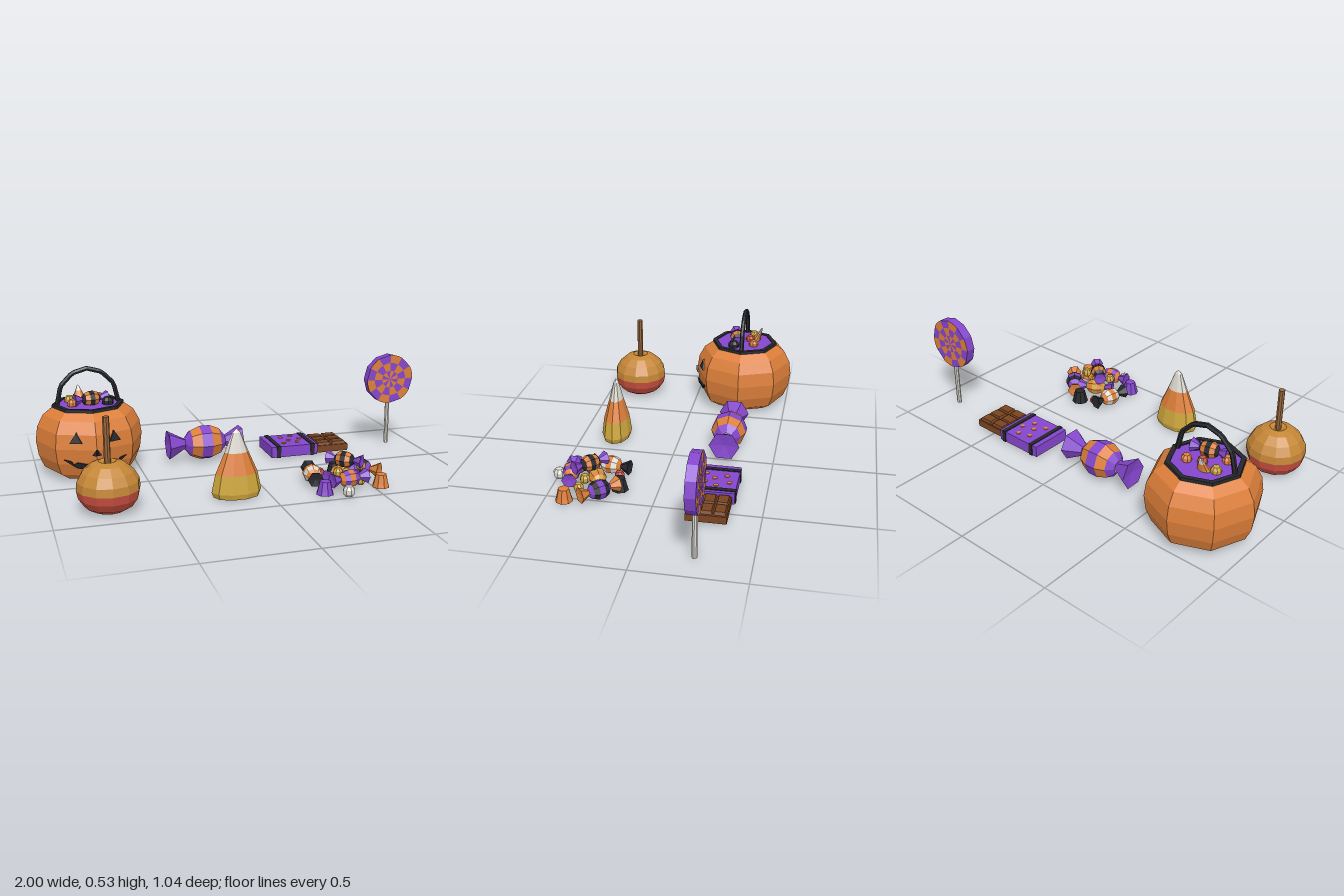
import * as THREE from 'three';

const mat = (name, color) => {
  const m = new THREE.MeshStandardMaterial({ color });
  m.name = name;
  return m;
};
const orange = mat('orange', 0xdd7f3a), purple = mat('purple', 0x8446cc), black = mat('black', 0x26272c);
const white = mat('white', 0xdcd9d0), yellow = mat('yellow', 0xcda63c), red = mat('red', 0xcb5040);
const chocolate = mat('chocolate', 0x7a4420), wood = mat('wood', 0x98663a), caramel = mat('caramel', 0xc48636);

// Faceted mesh: every triangle keeps its own normal
function add(parent, name, geo, material, x = 0, y = 0, z = 0) {
  const g = geo.index ? geo.toNonIndexed() : geo;
  g.computeVertexNormals();
  const m = new THREE.Mesh(g, material);
  m.name = name;
  m.position.set(x, y, z);
  parent.add(m);
  return m;
}
function group(parent, name, x, y, z, s = 1, rx = 0, ry = 0, rz = 0) {
  const g = new THREE.Group();
  g.name = name;
  g.position.set(x, y, z);
  g.rotation.set(rx, ry, rz);
  g.scale.setScalar(s);
  parent.add(g);
  return g;
}
// Lathe from [radius, y] pairs, bottom to top
const lathe = (pts, n) => new THREE.LatheGeometry(pts.map(p => new THREE.Vector2(p[0], p[1])), n);
const box = (w, h, d) => new THREE.BoxGeometry(w, h, d);

// Striped sweet with two flared wrapper ends, lying along x
function wrappedCandy(parent, x, y, z, s, base, stripe, ends, ry = 0, rz = 0) {
  const g = group(parent, 'wrappedCandy', x, y, z, s, 0, ry, rz);
  const body = group(g, 'body', 0, 0, 0, 1, 0, 0, Math.PI / 2);
  const p = [[0.03, -0.105], [0.068, -0.075], [0.088, -0.027], [0.088, 0.027], [0.068, 0.075], [0.03, 0.105]];
  for (let i = 0; i < 5; i++) add(body, 'band', lathe([p[i], p[i + 1]], 8), i % 2 ? stripe : base);
  for (const turn of [0, Math.PI]) {
    add(body, 'wrapperEnd', lathe([[0.018, 0.09], [0.076, 0.192], [0, 0.18]], 6), ends).rotation.x = turn;
  }
}

// Flattened three-colour corn sweet standing on its base
function candyCorn(parent, x, y, z, s = 1, rx = 0) {
  const g = group(parent, 'candyCorn', x, y, z, s, rx);
  const parts = [
    ['base', yellow, [[0, 0], [0.108, 0], [0.118, 0.025], [0.1, 0.11]]],
    ['middle', orange, [[0.1, 0.11], [0.056, 0.21]]],
    ['tip', white, [[0.056, 0.21], [0.02, 0.3], [0, 0.32]]],
  ];
  for (const [name, m, pts] of parts) add(g, name, lathe(pts, 10).rotateY(Math.PI / 10 * 5).scale(1, 1, 0.62), m);
}

const ball = (parent, m, x, y, z, r = 0.025) => add(parent, 'roundSweet', new THREE.SphereGeometry(r, 8, 5), m, x, y, z);

// Pumpkin bucket
const skin = [[0, 0], [0.17, 0], [0.225, 0.035], [0.25, 0.095], [0.26, 0.17], [0.25, 0.24], [0.22, 0.297], [0.165, 0.338]];
function apothem(y) {
  let i = 1;
  while (i < skin.length - 2 && skin[i + 1][1] < y) i++;
  const [r0, y0] = skin[i], [r1, y1] = skin[i + 1];
  return (r0 + (r1 - r0) * (y - y0) / (y1 - y0)) * Math.cos(Math.PI / 8);
}
function facePlate(parent, name, pts) {
  const shape = new THREE.Shape(pts.map(p => new THREE.Vector2(p[0], p[1])));
  const geo = new THREE.ExtrudeGeometry(shape, { depth: 0.009, bevelEnabled: false });
  const a = geo.attributes.position;
  for (let i = 0; i < a.count; i++) a.setZ(i, a.getZ(i) + apothem(a.getY(i)));
  add(parent, name, geo, black);
}
function bucket(root) {
  const g = group(root, 'pumpkinBucket', -0.74, 0, -0.26);
  add(g, 'shell', lathe(skin, 8), orange);
  add(g, 'rim', lathe([[0.152, 0.325], [0.176, 0.328], [0.174, 0.344], [0.152, 0.344], [0.152, 0.325]], 8), black);
  add(g, 'filling', lathe([[0.155, 0.339], [0, 0.345]], 8), purple);
  const arc = [[-0.15, 0.335], [-0.128, 0.432], [-0.07, 0.492], [0, 0.512], [0.07, 0.492], [0.128, 0.432], [0.15, 0.335]];
  const path = new THREE.CurvePath();
  for (let i = 0; i < 6; i++) {
    path.add(new THREE.LineCurve3(new THREE.Vector3(...arc[i], 0), new THREE.Vector3(...arc[i + 1], 0)));
  }
  add(g, 'handle', new THREE.TubeGeometry(path, 24, 0.012, 6), black);
  // Face, one half on each front panel
  for (const side of [-1, 1]) {
    const panel = group(g, 'faceHalf', 0, 0, 0, 1, 0, side * Math.PI / 8);
    facePlate(panel, 'eye', [[-0.03, 0.202], [0.03, 0.202], [0, 0.252]]);
    const edge = -side * 0.0985;
    facePlate(panel, 'nose', [[edge, 0.145], [edge + side * 0.022, 0.145], [edge, 0.175]]);
    const mouth = [[0, 0.07], [0.03, 0.07], [0.03, 0.085], [0.06, 0.085], [0.06, 0.073], [0.1, 0.078],
      [0.16, 0.12], [0.125, 0.112], [0.115, 0.097], [0.095, 0.107], [0.05, 0.1], [0, 0.1]];
    facePlate(panel, 'mouth', mouth.map(([x, y]) => [edge + side * x, y]));
  }
  // Sweets on top
  wrappedCandy(g, 0.01, 0.37, 0.04, 0.43, black, orange, purple, 0.2);
  candyCorn(g, -0.035, 0.325, -0.055, 0.3, -0.4);
  ball(g, orange, 0.06, 0.352, -0.055);
  ball(g, orange, -0.08, 0.352, 0.045);
  ball(g, red, -0.005, 0.355, -0.03, 0.024);
  ball(g, yellow, -0.085, 0.35, -0.045);
  ball(g, black, 0.09, 0.35, 0.05, 0.03);
}

// Dipped apple on a stick
function apple(root) {
  const g = group(root, 'caramelApple', -0.74, 0, 0.33);
  add(g, 'appleSkin', lathe([[0, 0], [0.07, 0], [0.108, 0.022], [0.134, 0.06], [0.142, 0.1]], 12), red);
  add(g, 'caramelCoat', lathe([[0.142, 0.1], [0.138, 0.137], [0.115, 0.178], [0.078, 0.211], [0.04, 0.224], [0.014, 0.212]], 12), caramel);
  add(g, 'appleStick', new THREE.CylinderGeometry(0.015, 0.015, 0.25, 8), wood, 0, 0.297, 0);
}

// Half-unwrapped bar
function bar(root) {
  const g = group(root, 'chocolateBar', 0, 0, -0.26);
  add(g, 'wrapper', box(0.25, 0.056, 0.21), purple, 0.302, 0.03, 0);
  for (const x of [0.215, 0.4]) add(g, 'wrapperBand', box(0.022, 0.062, 0.218), black, x, 0.031, 0);
  const dots = [[0.275, -0.05], [0.335, -0.068], [0.26, 0.048], [0.335, 0.045], [0.3, 0.005], [0.365, -0.01]];
  for (const [x, z] of dots) add(g, 'wrapperDot', new THREE.CylinderGeometry(0.012, 0.012, 0.006, 8), orange, x, 0.059, z);
  add(g, 'barBase', box(0.18, 0.036, 0.186), chocolate, 0.512, 0.022, 0);
  for (let i = 0; i < 2; i++) for (let j = -1; j <= 1; j++) {
    const piece = new THREE.CylinderGeometry(0.75, 0.9, 1, 4).rotateY(Math.PI / 4).scale(0.06, 0.016, 0.043);
    add(g, 'barSquare', piece, chocolate, 0.472 + i * 0.082, 0.047, j * 0.06);
  }
}

// Lollipop with a checkered disc on both faces
function lollipop(root) {
  const g = group(root, 'lollipop', 0.866, 0, -0.256);
  add(g, 'lollipopStick', new THREE.CylinderGeometry(0.012, 0.012, 0.25, 8), white, 0, 0.125, 0);
  const head = group(g, 'lollipopHead', 0, 0.357, 0);
  add(head, 'disc', new THREE.CylinderGeometry(0.131, 0.131, 0.047, 12).rotateX(Math.PI / 2), purple);
  const radii = [0.003, 0.045, 0.088, 0.131], step = Math.PI / 6;
  for (const turn of [0, Math.PI]) {
    const face = group(head, 'checkeredFace', 0, 0, 0, 1, 0, turn);
    for (let r = 0; r < 3; r++) for (let k = r % 2; k < 12; k += 2) {
      add(face, 'check', new THREE.RingGeometry(radii[r], radii[r + 1], 1, 1, k * step, step), orange, 0, 0, 0.0245);
    }
  }
}

// Heap of small sweets
function pile(root) {
  const g = group(root, 'candyPile', 0, 0, 0);
  wrappedCandy(g, 0.24, 0.045, 0.255, 0.5, orange, white, black, 1.4);
  wrappedCandy(g, 0.49, 0.05, 0.25, 0.52, purple, black, orange, -0.8);
  wrappedCandy(g, 0.365, 0.06, 0.415, 0.48, orange, purple, purple, 0.15);
  wrappedCandy(g, 0.378, 0.122, 0.32, 0.45, black, orange, purple, -0.75);
  wrappedCandy(g, 0.37, 0.045, 0.29, 0.48, yellow, orange, purple, 0.5);
  const cup = [[0, 0], [0.042, 0], [0.036, 0.02], [0.026, 0.062], [0, 0.065]];
  const cups = [[purple, 0.24, 0.425], [orange, 0.53, 0.405], [black, 0.385, 0.178]];
  for (const [m, x, z] of cups) add(g, 'cupSweet', lathe(cup, 8), m, x, 0, z);
  ball(g, red, 0.3, 0.025, 0.2);
  ball(g, yellow, 0.462, 0.085, 0.322);
  ball(g, yellow, 0.445, 0.025, 0.36);
  ball(g, yellow, 0.33, 0.075, 0.36);
  ball(g, white, 0.333, 0.025, 0.487, 0.03);
}

export function createModel() {
  const root = new THREE.Group();
  root.name = 'halloweenSweets';
  bucket(root);
  apple(root);
  candyCorn(root, -0.155, 0, 0.325);
  wrappedCandy(root, -0.155, 0.088, -0.26, 1, purple, orange, purple);
  bar(root);
  lollipop(root);
  pile(root);
  return root;
}
